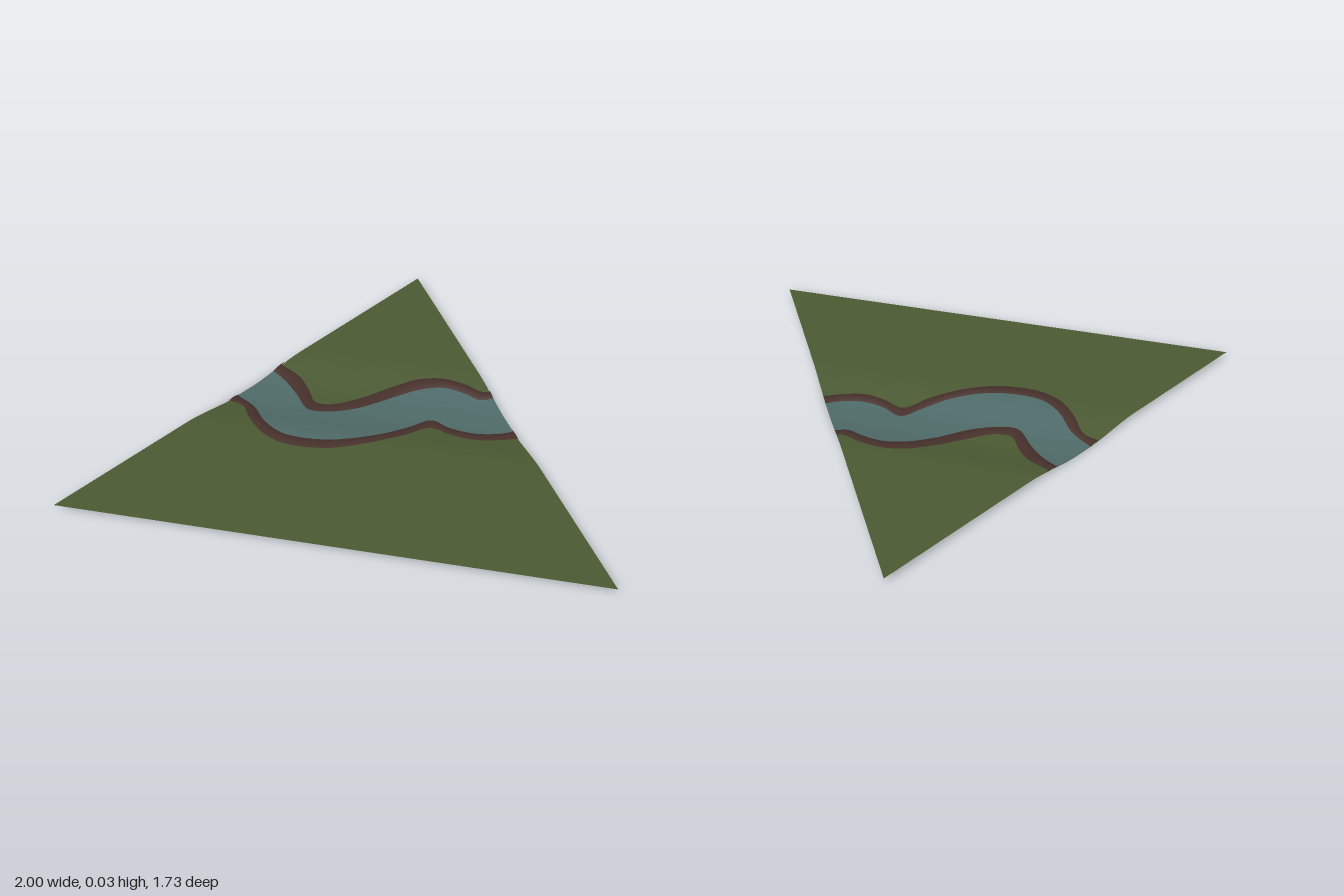
import * as THREE from 'three';

// Half width of the triangular tile at depth z, and the height of its shallow valley
const halfWidth = z => (z + 0.866) / 1.732;
const ground = z => 0.026 * THREE.MathUtils.smoothstep(Math.abs(z - 0.05), 0.03, 0.27);

// Smooth shoreline through [x, z] pairs
const line = pts => new THREE.CatmullRomCurve3(pts.map(([x, z]) => new THREE.Vector3(x, 0, z)));

const northOuter = line([[-0.46, -0.14], [-0.40, -0.11], [-0.33, -0.065], [-0.28, 0], [-0.235, 0.068], [-0.165, 0.065],
  [-0.075, 0.01], [0.05, -0.085], [0.14, -0.14], [0.235, -0.16], [0.325, -0.145], [0.405, -0.115], [0.45, -0.13]]);
const northInner = line([[-0.48, -0.10], [-0.43, -0.07], [-0.385, -0.035], [-0.325, 0.03], [-0.255, 0.118], [-0.19, 0.12],
  [-0.075, 0.075], [0.06, -0.025], [0.155, -0.085], [0.245, -0.11], [0.33, -0.095], [0.40, -0.07], [0.46, -0.095]]);
const southInner = line([[-0.56, 0.08], [-0.465, 0.15], [-0.395, 0.245], [-0.315, 0.305], [-0.225, 0.32], [-0.10, 0.305],
  [0.05, 0.235], [0.155, 0.15], [0.23, 0.085], [0.31, 0.12], [0.40, 0.135], [0.485, 0.12], [0.57, 0.08]]);
const southOuter = line([[-0.59, 0.125], [-0.51, 0.155], [-0.46, 0.235], [-0.385, 0.32], [-0.31, 0.36], [-0.225, 0.372],
  [-0.10, 0.355], [0.03, 0.295], [0.145, 0.215], [0.235, 0.137], [0.32, 0.165], [0.40, 0.18], [0.485, 0.165], [0.59, 0.125]]);

// Grid surface whose vertices are placed by at(u, v) -> [x, y, z]
function sheet(name, color, cols, rows, at) {
  const geo = new THREE.PlaneGeometry(1, 1, cols, rows);
  const { position, uv } = geo.attributes;
  for (let i = 0; i < position.count; i++) {
    position.setXYZ(i, ...at(uv.getX(i), 1 - uv.getY(i)));
  }
  geo.computeVertexNormals();
  const material = new THREE.MeshStandardMaterial({ color, side: THREE.DoubleSide });
  const mesh = new THREE.Mesh(geo, material);
  mesh.name = name;
  return mesh;
}

// Ribbon between two shorelines, draped over the ground and trimmed at the tile edge
function ribbon(name, color, back, front, rows, lift) {
  return sheet(name, color, 120, rows, (u, v) => {
    const p = back.getPoint(u).lerp(front.getPoint(u), v);
    const limit = halfWidth(p.z);
    return [THREE.MathUtils.clamp(p.x, -limit, limit), ground(p.z) + lift(v), p.z];
  });
}

export function createModel() {
  const model = new THREE.Group();
  model.name = 'riverTile';

  // Grass triangle with a valley across it
  model.add(sheet('grass', 0x4b5a33, 24, 120, (u, v) => {
    const z = -0.866 + 1.732 * v;
    return [(2 * u - 1) * halfWidth(z), ground(z), z];
  }));

  // Water and its two raised earth banks
  const bankLift = v => 0.003 + 0.005 * Math.sin(Math.PI * v);
  model.add(ribbon('water', 0x4f6b69, northInner, southInner, 16, () => 0.003));
  model.add(ribbon('northBank', 0x46302b, northOuter, northInner, 4, bankLift));
  model.add(ribbon('southBank', 0x46302b, southInner, southOuter, 4, bankLift));
  return model;
}
